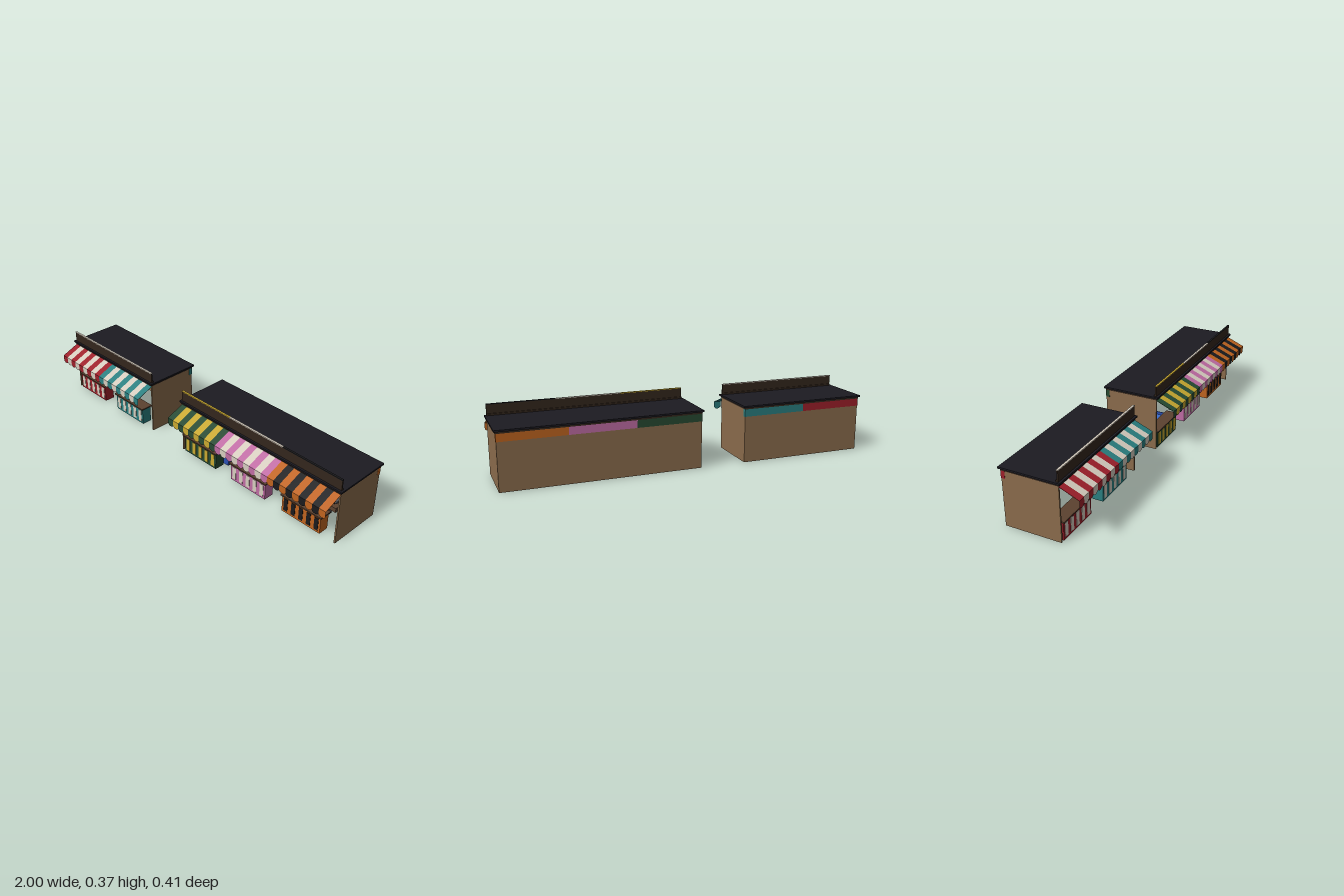
import * as THREE from 'three';

const mats = new Map();
function mat(color) {
  if (!mats.has(color)) mats.set(color, new THREE.MeshStandardMaterial({ color, side: THREE.DoubleSide }));
  return mats.get(color);
}
const WALL = 0x8b6c4c, ROOF = 0x1c1b22, SIGN = 0x33261c, WOOD = 0x5c4230, METAL = 0x55585e;
const RED = 0x9e1f2a, CREAM = 0xd6cdbf, TEAL = 0x2a7f80, GREEN = 0x264a32, YELLOW = 0xc8a830;
const PINK = 0xc06ca4, ORANGE = 0xc0641f, BLACK = 0x1a1a1c, BLUE = 0x2a4fb0;

function add(parent, name, geometry, color, x = 0, y = 0, z = 0) {
  const mesh = new THREE.Mesh(geometry, mat(color));
  mesh.name = name;
  mesh.position.set(x, y, z);
  parent.add(mesh);
  return mesh;
}

// Box given by its extents on each axis
function box(parent, name, color, x0, x1, y0, y1, z0, z1) {
  return add(parent, name, new THREE.BoxGeometry(x1 - x0, y1 - y0, z1 - z0), color,
    (x0 + x1) / 2, (y0 + y1) / 2, (z0 + z1) / 2);
}

const STALL = 0.3467;

// Striped sloping canopy with a scalloped valance
function awning(parent, x0, base, accent) {
  const g = new THREE.Group();
  g.name = 'awning';
  const n = 9, w = STALL / n, rise = 0.041, run = 0.1;
  const valance = new THREE.Shape();
  valance.moveTo(-w / 2, 0.245);
  valance.lineTo(-w / 2, 0.217);
  valance.absellipse(0, 0.217, w / 2, 0.014, Math.PI, Math.PI * 2, false);
  valance.lineTo(w / 2, 0.245);
  for (let i = 0; i < n; i++) {
    const color = i % 2 ? accent : base, x = x0 + (i + 0.5) * w;
    const slope = add(g, 'awningStripe', new THREE.BoxGeometry(w, 0.002, Math.hypot(rise, run)), color,
      x, 0.2655, 0.153);
    slope.rotation.x = Math.atan2(rise, run);
    add(g, 'valanceFlap', new THREE.ShapeGeometry(valance, 8), color, x, 0, 0.203);
  }
  parent.add(g);
}

// Counter box with a striped front and a wooden top
function counter(parent, x0, base, accent) {
  const g = new THREE.Group();
  g.name = 'counter';
  const w = 0.235;
  box(g, 'counterBody', base, x0, x0 + w, 0, 0.095, 0.045, 0.103);
  box(g, 'counterTop', WOOD, x0 - 0.007, x0 + w + 0.007, 0.095, 0.102, 0.04, 0.112);
  for (let i = 0; i < 5; i++) {
    const x = x0 + w * (i + 0.5) / 5;
    box(g, 'counterStripe', accent, x - 0.012, x + 0.012, 0.012, 0.083, 0.102, 0.105);
  }
  parent.add(g);
}

// Dark board covered with balloons
function balloonGame(g, x) {
  box(g, 'balloonBoard', SIGN, x + 0.04, x + 0.31, 0.07, 0.23, -0.18, -0.17);
  const colors = [RED, BLUE, YELLOW, TEAL, ORANGE];
  for (let r = 0; r < 3; r++) for (let c = 0; c < 6; c++) {
    add(g, 'balloon', new THREE.SphereGeometry(0.013, 10, 8), colors[(c * 2 + r) % 5],
      x + 0.075 + c * 0.039 + (r % 2) * 0.018, 0.13 + r * 0.035, -0.16);
  }
}

// Teal backboard with shelves of small pyramid targets
function targetGame(g, x) {
  box(g, 'targetBoard', TEAL, x + 0.02, x + 0.335, 0.055, 0.23, -0.18, -0.17);
  for (const y of [0.125, 0.175]) {
    box(g, 'targetShelf', TEAL, x + 0.025, x + 0.33, y - 0.005, y, -0.17, -0.14);
    for (let i = 0; i < 6; i++) {
      add(g, 'target', new THREE.ConeGeometry(0.014, 0.022, 4), YELLOW, x + 0.055 + i * 0.049, y + 0.011, -0.152);
    }
  }
}

// Open water tank
function tankGame(g, x) {
  const a = x + 0.03, b = x + 0.28;
  box(g, 'tankFloor', BLUE, a, b, 0.004, 0.01, -0.055, 0.035);
  box(g, 'tankWater', 0x3b6fd0, a + 0.004, b - 0.004, 0.055, 0.058, -0.051, 0.031);
  for (const z of [-0.055, 0.031]) box(g, 'tankSide', BLUE, a, b, 0, 0.075, z, z + 0.004);
  for (const s of [a, b - 0.004]) box(g, 'tankEnd', BLUE, s, s + 0.004, 0, 0.075, -0.055, 0.035);
}

// Small machine below a row of hanging ornaments
function sweetStand(g, x) {
  box(g, 'machineBase', METAL, x + 0.12, x + 0.2, 0, 0.095, -0.04, 0.02);
  add(g, 'machineBowl', new THREE.CylinderGeometry(0.045, 0.03, 0.022, 20), 0xb9a9b4, x + 0.16, 0.106, -0.01);
  for (let i = 0; i < 6; i++) {
    const px = x + 0.05 + i * 0.052;
    add(g, 'hangingCord', new THREE.CylinderGeometry(0.001, 0.001, 0.09, 6), BLACK, px, 0.242, 0.06);
    add(g, 'hangingOrnament', new THREE.SphereGeometry(0.01, 10, 8), i % 2 ? PINK : METAL, px, 0.188, 0.06);
  }
}

// Grill plus a small cooker standing at the side
function grillStand(g, x) {
  box(g, 'grillBody', METAL, x + 0.06, x + 0.2, 0, 0.09, -0.06, 0.02);
  const cx = x + 0.253;
  box(g, 'sideShelf', WOOD, cx - 0.028, cx + 0.028, 0.1, 0.125, -0.02, 0.03);
  add(g, 'cookerPost', new THREE.CylinderGeometry(0.003, 0.003, 0.022, 8), BLACK, cx, 0.135, 0.005);
  box(g, 'cookerTop', METAL, cx - 0.022, cx + 0.022, 0.144, 0.155, -0.01, 0.02);
}

// One row of stalls under a shared flat roof
function stallRow(name, x0, stalls) {
  const g = new THREE.Group();
  g.name = name;
  const x1 = x0 + STALL * stalls.length;
  box(g, 'backWall', WALL, x0, x1, 0, 0.29, -0.193, -0.183);
  box(g, 'endWall', WALL, x0, x0 + 0.008, 0, 0.29, -0.193, 0.103);
  box(g, 'endWall', WALL, x1 - 0.008, x1, 0, 0.29, -0.193, 0.103);
  box(g, 'roofFrame', SIGN, x0 - 0.003, x1 + 0.003, 0.29, 0.3, -0.195, 0.107);
  box(g, 'roof', ROOF, x0 - 0.01, x1 + 0.01, 0.3, 0.309, -0.203, 0.114);

  stalls.forEach(([base, accent, cap, fill], i) => {
    const s = new THREE.Group();
    s.name = 'stall' + (i + 1);
    const a = x0 + i * STALL, b = a + STALL;
    if (i) box(s, 'wallPost', WALL, a - 0.006, a + 0.006, 0, 0.29, -0.185, -0.165);
    box(s, 'rearBand', base, a - (i ? 0 : 0.001), b + 0.001, 0.25, 0.29, -0.195, -0.174);
    box(s, 'signBoard', SIGN, a, b, 0.309, 0.365, 0.096, 0.103);
    box(s, 'signFoot', SIGN, a, b, 0.309, 0.318, 0.09, 0.096);
    box(s, 'signCap', cap, a, b, 0.364, 0.368, 0.094, 0.105);
    awning(s, a, base, accent);
    counter(s, a + 0.02, base, accent);
    fill(s, a);
    g.add(s);
  });
  return g;
}

export function createModel() {
  const model = new THREE.Group();
  model.name = 'marketStalls';
  model.add(stallRow('gameStalls', -0.99, [
    [RED, CREAM, CREAM, balloonGame],
    [TEAL, CREAM, CREAM, targetGame],
  ]));
  model.add(stallRow('foodStalls', 0.99 - 3 * STALL, [
    [GREEN, YELLOW, YELLOW, tankGame],
    [PINK, CREAM, CREAM, sweetStand],
    [ORANGE, BLACK, BLACK, grillStand],
  ]));
  return model;
}
